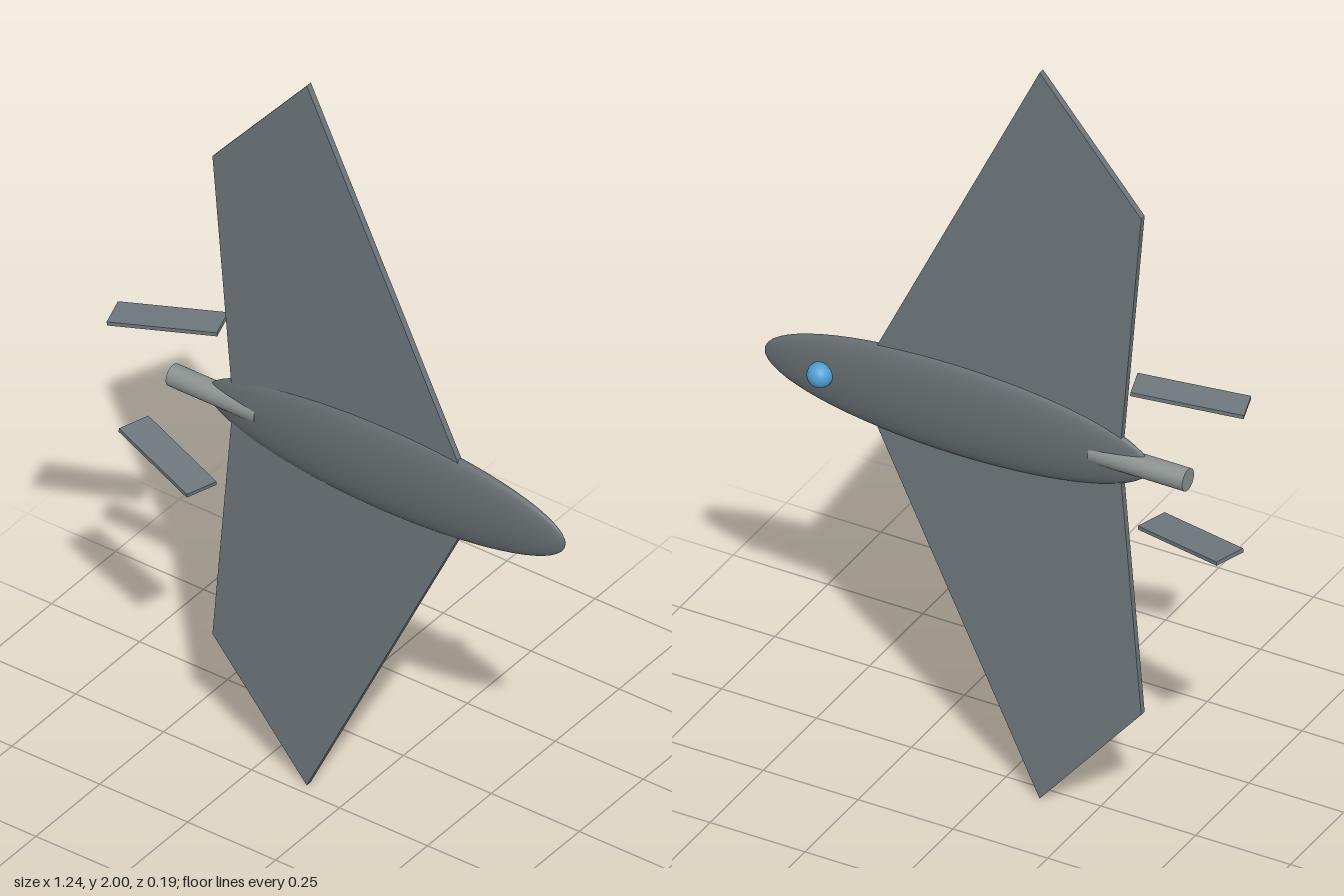
import * as THREE from 'three';

const CENTRE_Y = 1;
const CENTRE_Z = -0.036;

function paint(color) {
  return new THREE.MeshStandardMaterial({ color });
}

function part(name, geometry, material, x, y, z) {
  const mesh = new THREE.Mesh(geometry, material);
  mesh.name = name;
  mesh.position.set(x, y, z);
  return mesh;
}

export function createModel() {
  const model = new THREE.Group();
  model.name = 'aircraft';
  const hull = paint(0x666d70);
  const panel = paint(0x6e777c);
  const metal = paint(0x8a918f);
  const glass = paint(0x4f9fd4);

  // Fuselage: a long flattened ellipsoid with its nose towards +x
  const body = new THREE.SphereGeometry(1, 48, 32);
  body.rotateZ(-Math.PI / 2);
  body.scale(0.508, 0.125, 0.034);
  model.add(part('fuselage', body, hull, 0.108, CENTRE_Y, CENTRE_Z));

  // Wings: one thin plate spanning both sides through the fuselage
  const half = [[0.37, 0], [-0.112, 1], [-0.38, 0.683], [-0.322, 0]];
  const mirrored = half.slice(1, 3).reverse().map(([x, y]) => [x, -y]);
  const outline = [...half, ...mirrored].map(([x, y]) => new THREE.Vector2(x, y));
  const thickness = 0.016;
  const wing = new THREE.ExtrudeGeometry(new THREE.Shape(outline), {
    depth: thickness, bevelEnabled: false,
  });
  wing.translate(0, 0, -thickness / 2);
  model.add(part('wings', wing, panel, 0, CENTRE_Y, CENTRE_Z + 0.002));

  // Exhaust pipe at the tail
  const pipe = new THREE.CylinderGeometry(0.028, 0.028, 0.25, 32);
  pipe.rotateZ(Math.PI / 2);
  model.add(part('exhaust', pipe, metal, -0.375, CENTRE_Y, CENTRE_Z));

  // Cockpit dome on the back face near the nose
  model.add(part('cockpit', new THREE.SphereGeometry(0.031, 32, 24), glass, 0.453, CENTRE_Y, -0.067));

  // Pair of free-standing tail fins, tilted in opposite directions
  for (const side of [1, -1]) {
    const fin = part(side > 0 ? 'upperTailFin' : 'lowerTailFin',
      new THREE.BoxGeometry(0.268, 0.01, 0.084), panel,
      -0.48, CENTRE_Y + side * 0.197, 0.012);
    fin.rotation.order = 'YZX';
    fin.rotation.y = side * 0.314;
    fin.rotation.z = side * 0.11;
    model.add(fin);
  }

  return model;
}
